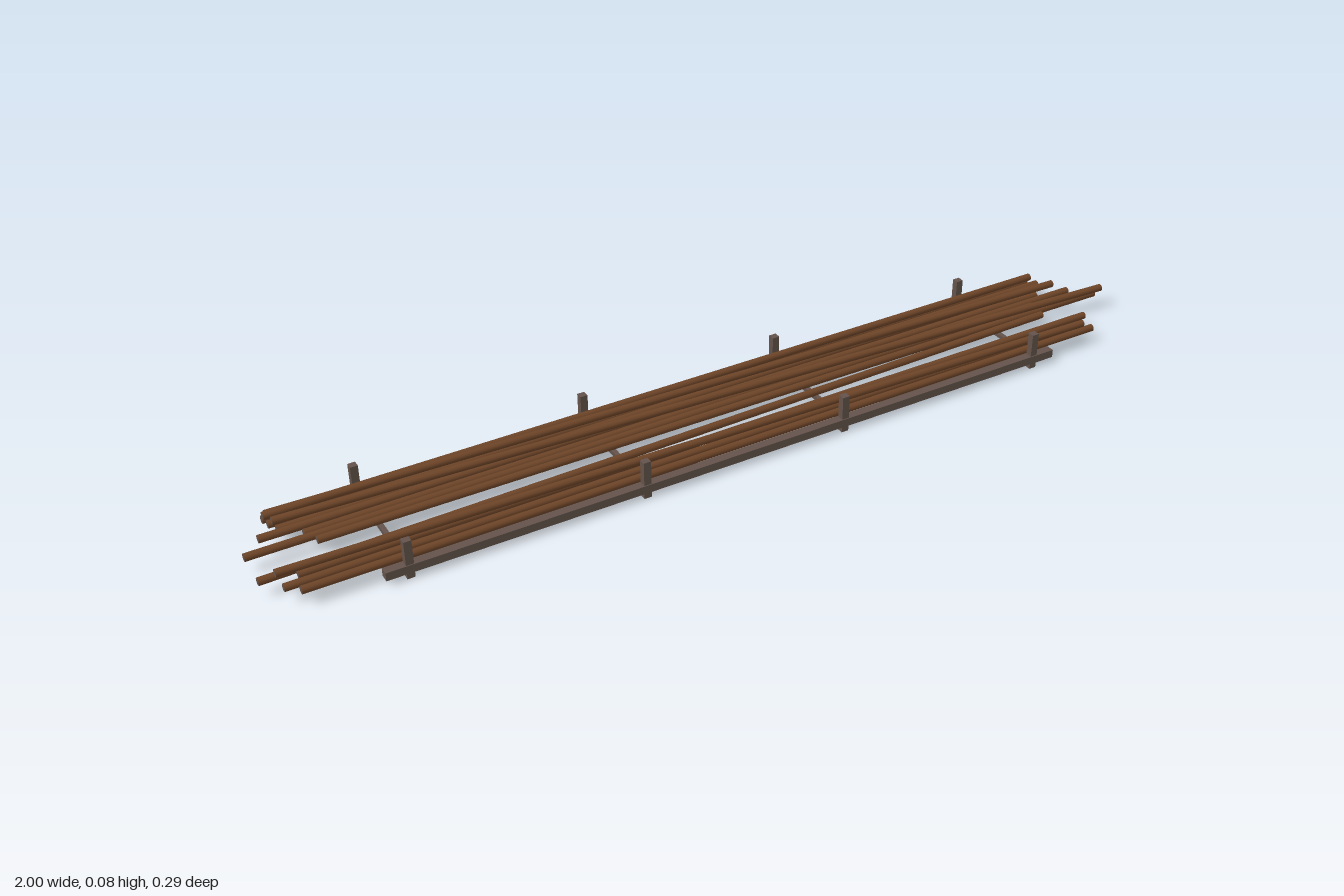
import * as THREE from 'three';

export function createModel() {
  const root = new THREE.Group();
  root.name = 'rodRack';
  const frameMat = new THREE.MeshStandardMaterial({ color: 0x63534b });
  frameMat.name = 'grey brown frame';
  const rodMat = new THREE.MeshStandardMaterial({ color: 0x6e4528 });
  rodMat.name = 'rusty brown rod';

  const box = (name, w, h, d, x, y, z) => {
    const m = new THREE.Mesh(new THREE.BoxGeometry(w, h, d), frameMat);
    m.name = name;
    m.position.set(x, y, z);
    root.add(m);
  };

  // Frame: two long rails, four pairs of posts joined by cross bars
  for (const s of [1, -1]) box('sideRail', 1.545, 0.018, 0.019, -0.018, 0.022, s * 0.1365);
  for (const x of [-0.742, -0.248, 0.213, 0.703]) {
    for (const s of [1, -1]) box('post', 0.016, 0.084, 0.015, x, 0.042, s * 0.1365);
    box('crossBar', 0.010, 0.009, 0.265, x, 0.0225, 0);
  }

  // Rods: [left-hand x, z, right-hand x, z], with grey cut ends
  const R = 0.0082;
  const addRod = (name, y, [x0, z0, x1, z1]) => {
    const dir = new THREE.Vector3(x1 - x0, 0, z1 - z0);
    const geo = new THREE.CylinderGeometry(R, R, dir.length(), 12);
    const m = new THREE.Mesh(geo, [rodMat, frameMat, frameMat]);
    m.name = name;
    m.position.set((x0 + x1) / 2, y, (z0 + z1) / 2);
    m.quaternion.setFromUnitVectors(new THREE.Vector3(0, 1, 0), dir.normalize());
    root.add(m);
  };

  const lower = [
    [-0.94, 0.119, 0.885, 0.119],
    [-0.965, 0.097, 0.86, 0.097],
    [-0.93, 0.073, 0.905, 0.068],
    [-1.0, 0.057, 0.825, 0.018],
    [-0.865, -0.008, 0.99, 0.0],
    [-1.0, -0.024, 0.83, -0.024],
    [-0.88, -0.04, 0.945, -0.04],
    [-0.96, -0.065, 0.87, -0.06],
    [-0.92, -0.077, 0.9, -0.088],
    [-0.93, -0.1, 0.905, -0.1],
    [-0.935, -0.12, 0.89, -0.12],
  ];
  const upper = [
    [-0.97, 0.07, 0.86, 0.115],
    [-0.925, -0.085, 1.0, 0.01],
    [-0.93, -0.112, 0.915, -0.06],
    [-0.935, -0.108, 0.89, -0.111],
  ];
  lower.forEach(r => addRod('lowerRod', 0.035, r));
  upper.forEach(r => addRod('upperRod', 0.0515, r));
  return root;
}
